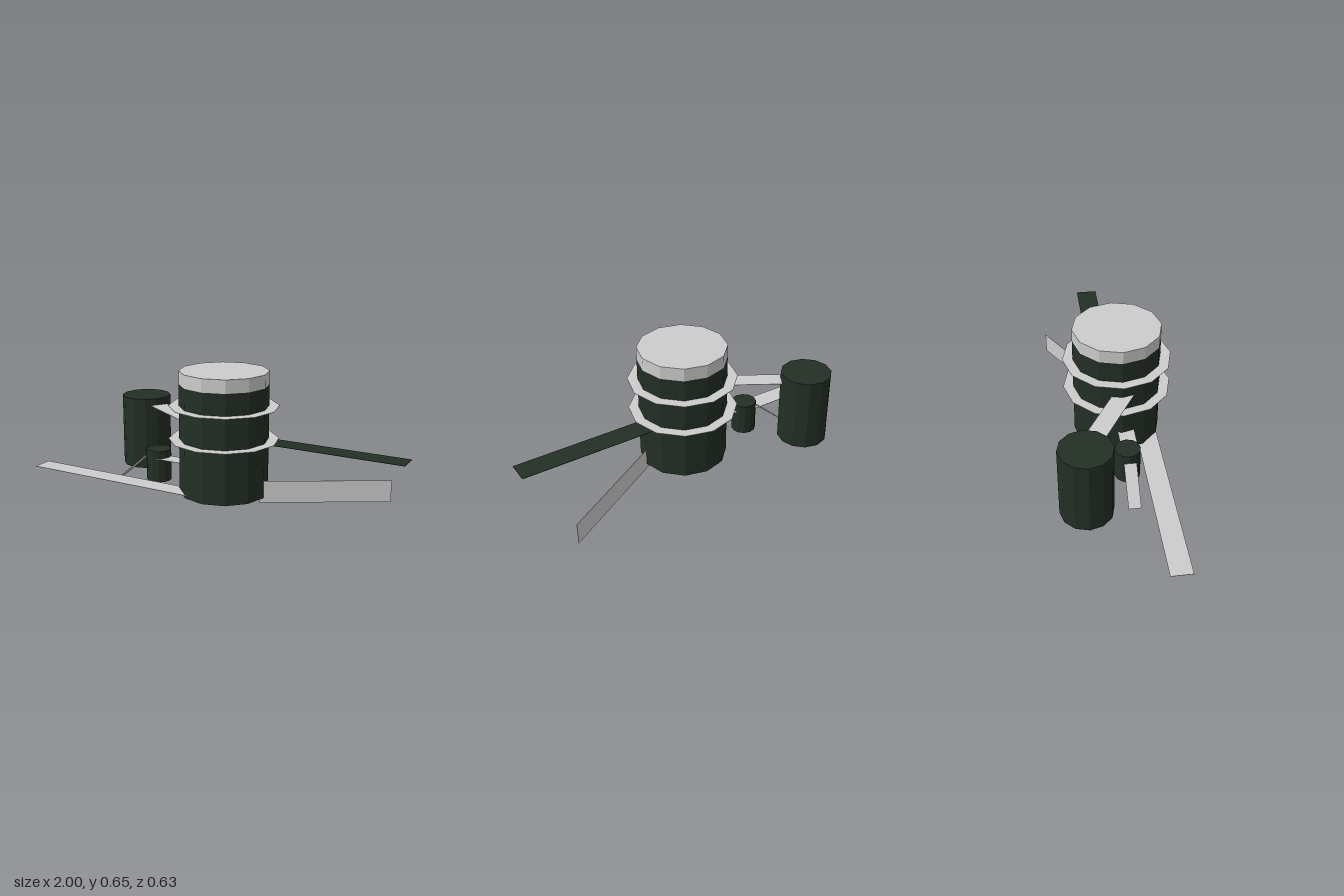
import * as THREE from 'three';

export function createModel() {
  const model = new THREE.Group();
  const mat = (name, color, extra = {}) =>
    Object.assign(new THREE.MeshStandardMaterial({ color, flatShading: true, side: THREE.DoubleSide }), { name });
  const darkGreen = mat('darkGreen', 0x232f25);
  const lightGrey = mat('lightGrey', 0xcdcdcd);

  const add = (name, geometry, material, x, y, z) => {
    const mesh = new THREE.Mesh(geometry, material);
    mesh.name = name;
    mesh.position.set(x, y, z);
    model.add(mesh);
    return mesh;
  };

  // Twelve-sided drum standing between two heights
  const drum = (name, material, x, z, r, y0, y1) =>
    add(name, new THREE.CylinderGeometry(r, r, y1 - y0, 12), material, x, (y0 + y1) / 2, z);

  // Flat horizontal strip
  const strip = (name, material, length, width, x, y, z) =>
    add(name, new THREE.BoxGeometry(length, 0.002, width), material, x, y, z);

  // Main tower with pale cap and two thin collars
  const cx = 0.075, cz = 0.038;
  drum('mainTower', darkGreen, cx, cz, 0.225, 0.025, 0.583);
  drum('towerCap', lightGrey, cx, cz, 0.225, 0.583, 0.65);
  for (const y of [0.304, 0.473]) drum('collar', lightGrey, cx, cz, 0.277, y - 0.001, y + 0.001);

  // Side drums
  drum('sideTower', darkGreen, -0.54, -0.188, 0.132, 0.025, 0.415);
  drum('smallTower', darkGreen, -0.315, 0.04, 0.065, 0.025, 0.193);

  // Long walkways running out to either side
  strip('lowWalkway', lightGrey, 1.04, 0.107, -0.48, 0.04, 0.182);
  strip('highWalkway', darkGreen, 0.8, 0.112, 0.6, 0.302, -0.021);

  // Bridge from the side tower to the main tower, turned 30 degrees
  strip('upperBridge', lightGrey, 0.38, 0.097, -0.26, 0.379, -0.034).rotation.y = -0.54;

  // Bridge from the small tower to the main tower
  strip('lowerBridge', lightGrey, 0.19, 0.085, -0.195, 0.153, 0.058);

  // Ramp rising from the ground to the small tower
  strip('ramp', lightGrey, Math.hypot(0.165, 0.144), 0.063, -0.464, 0.08, 0.044)
    .rotation.z = Math.atan2(0.144, 0.165);

  // Upright wall leaving the main tower at an angle
  const wall = add('angledWall', new THREE.BoxGeometry(Math.hypot(0.57, 0.333), 0.113, 0.002),
    lightGrey, 0.565, 0.0565, -0.119);
  wall.rotation.y = Math.atan2(0.333, 0.57);

  return model;
}
